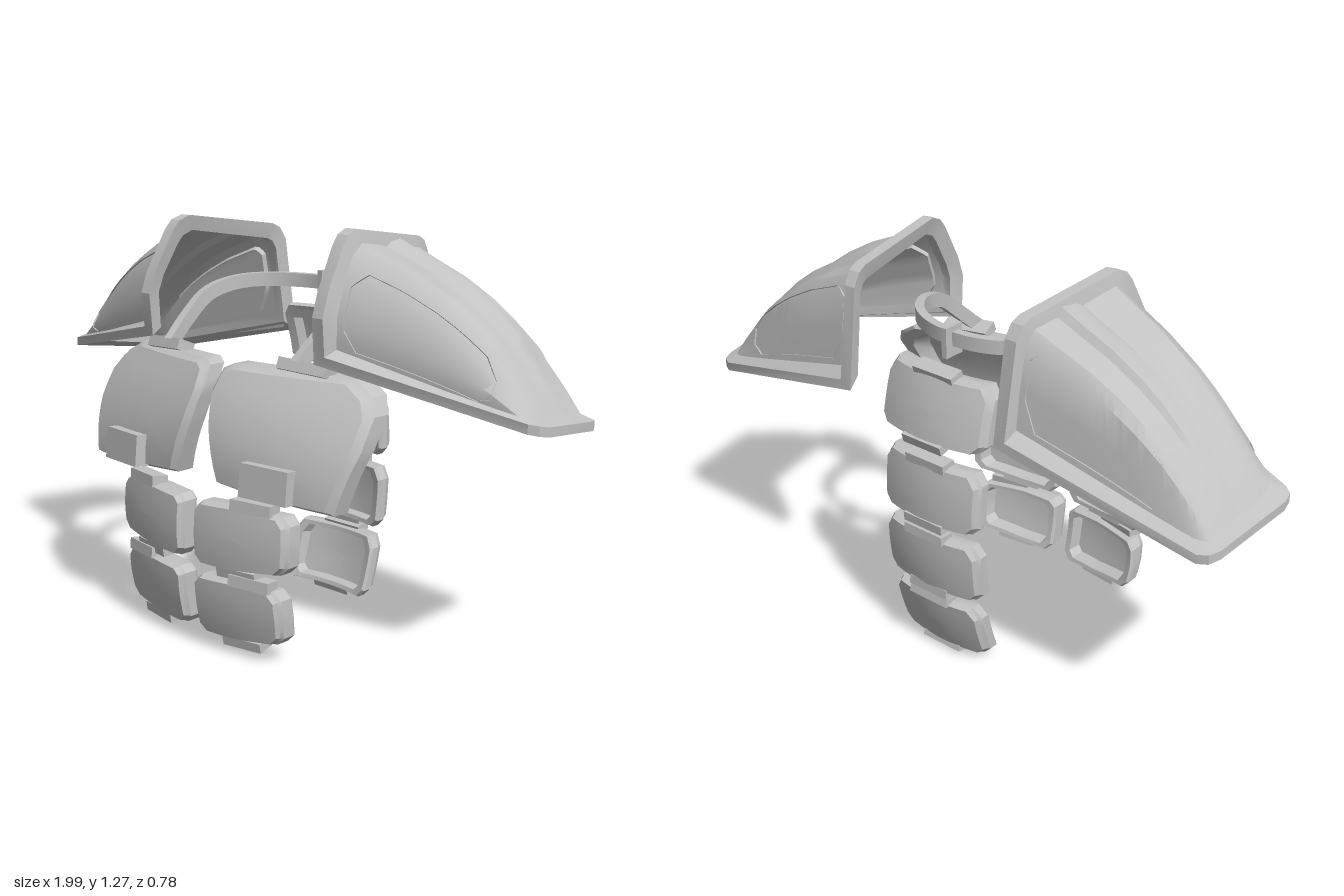
import * as THREE from 'three';
import { toCreasedNormals } from 'three/addons/utils/BufferGeometryUtils.js';

const { lerp, clamp } = THREE.MathUtils;
const steel = new THREE.MeshStandardMaterial({ color: 0xc2c2c2, side: THREE.DoubleSide });
steel.name = 'grey steel';

// Skin a list of point loops; rings are closed when asked
function loft(loops, closed, crease = 0.6) {
  const n = loops[0].length, pos = loops.flat(2), idx = [];
  for (let i = 0; i < loops.length - 1; i++) {
    for (let j = 0; j < (closed ? n : n - 1); j++) {
      const k = (j + 1) % n, a = i * n + j, b = i * n + k, c = b + n, d = a + n;
      idx.push(a, b, c, a, c, d);
    }
  }
  const g = new THREE.BufferGeometry();
  g.setAttribute('position', new THREE.Float32BufferAttribute(pos, 3));
  g.setIndex(idx);
  return toCreasedNormals(g, crease);
}

function add(parent, geometry, name) {
  const m = new THREE.Mesh(geometry, steel);
  m.name = name;
  parent.add(m);
  return m;
}

function box(parent, name, w, h, d, x, y, z, rx = 0, ry = 0) {
  const m = add(parent, new THREE.BoxGeometry(w, h, d), name);
  m.position.set(x, y, z);
  m.rotation.set(rx, ry, 0);
}

// Split the edges of an outline so that the plate can bend
function subdivide(outline, step = 0.04) {
  return outline.flatMap((p, i) => {
    const q = outline[(i + 1) % outline.length];
    const n = Math.max(1, Math.round(Math.hypot(q[0] - p[0], q[1] - p[1]) / step));
    return Array.from({ length: n }, (_, k) => [lerp(p[0], q[0], k / n), lerp(p[1], q[1], k / n)]);
  });
}

// Hollow plate: recessed back, rim, side wall, stepped edge, curved face
function plate(outline, depth, bend) {
  const pts = subdivide(outline);
  const xs = outline.map(p => p[0]), ys = outline.map(p => p[1]);
  const cx = (Math.min(...xs) + Math.max(...xs)) / 2, cy = (Math.min(...ys) + Math.max(...ys)) / 2;
  const layers = [[0.001, -0.03], [0.4, -0.03], [0.78, -0.03], [0.83, -depth], [0.96, -depth], [1, -depth + 0.01],
    [1, -0.022], [0.96, -0.014], [0.93, 0], [0.65, 0], [0.35, 0], [0.001, 0]];
  return loft(layers.map(([s, z]) => pts.map(([x, y]) => {
    const px = cx + (x - cx) * s, py = cy + (y - cy) * s;
    return [px, py, z + bend(px, py)];
  })), true, 0.5);
}

// Shoulder shell: an arch across the shoulder that sinks towards the arm
const ARCH = [[.055, 0], [.045, .2], [.05, .42], [.11, .7], [.19, .91], [.27, 1], [.4, .985], [.5, .965],
  [.54, 1.0], [.64, 1.02], [.67, .955], [.82, .94], [.875, .84], [.91, .5], [.945, 0]];
const HEIGHT = [[.03, .355], [.2, .33], [.35, .31], [.5, .275], [.62, .235], [.73, .185], [.82, .13], [.9, .075], [.96, .025]];
function sample(table, t) {
  let i = 0;
  while (i < table.length - 2 && table[i + 1][0] < t) i++;
  return lerp(table[i][1], table[i + 1][1], (t - table[i][0]) / (table[i + 1][0] - table[i][0]));
}
function shell(u, v) {
  const i = Math.min(Math.floor(v), ARCH.length - 2), f = v - i;
  const s = lerp(ARCH[i][0], ARCH[i + 1][0], f), h = lerp(ARCH[i][1], ARCH[i + 1][1], f);
  const front = new THREE.Vector3(.35, .89, .20).lerp(new THREE.Vector3(.98, .765, .03), u);
  const back = new THREE.Vector3(.28, .855, -.39).lerp(new THREE.Vector3(.95, .72, -.33), u);
  const p = front.lerp(back, s);
  p.y += h * sample(HEIGHT, u);
  return p;
}

// Raised panel following the shell, with chamfered corners and a skirt
function shellPanel(u0, u1, v0, v1, lift) {
  const N = 12, rows = [];
  for (let i = -1; i <= N + 1; i++) {
    const row = [];
    for (let j = -1; j <= N + 1; j++) {
      const a = clamp(i / N, 0, 1), b = clamp(j / N, 0, 1);
      const cut = 0.12 * Math.max(0, Math.abs(2 * b - 1) - 0.5);
      const u = lerp(u0 + cut, u1 - cut, a), v = lerp(v0, v1, b), p = shell(u, v);
      const du = shell(u + .02, v).sub(shell(u - .02, v)), dv = shell(u, v + .3).sub(shell(u, v - .3));
      const edge = i < 0 || j < 0 || i > N || j > N;
      row.push(p.addScaledVector(dv.cross(du).normalize(), edge ? -0.005 : lift).toArray());
    }
    rows.push(row);
  }
  return loft(rows, false, 0.5);
}

function rimGeometry() {
  const archX = z => .28 + (z + .39) / .59 * .07;
  // outer z, y and inner z, y up and over the neck side
  const arch = [[.20, .885, .155, .905], [.21, 1.02, .16, 1.02], [.185, 1.09, .14, 1.075], [.115, 1.215, .085, 1.17],
    [.09, 1.245, .065, 1.195], [.05, 1.26, .03, 1.21], [-.29, 1.215, -.275, 1.165], [-.32, 1.2, -.295, 1.155],
    [-.345, 1.16, -.31, 1.13], [-.39, .845, -.345, .875]];
  const loops = arch.map(([z, y, zi, yi], i) => {
    const x = archX(z), low = i === 0 || i === arch.length - 1 ? .025 : 0;
    return [[x, y, z], [x + .012, yi, zi], [x + .05, yi + low, zi], [x + .04, y + low, z]];
  });
  // rounded corners at the arm end
  const arm = [[.92, .703, -.34, .89, .735, -.295], [.95, .705, -.325, .9, .735, -.285], [.965, .71, -.29, .91, .735, -.26],
    [.997, .745, -.02, .94, .77, -.02], [.99, .752, .015, .935, .775, -.005], [.965, .757, .035, .92, .782, .005]];
  for (const [x, y, z, a, b, c] of arm) loops.push([[x, y, z], [a, b, c], [a, b + .025, c], [x, y + .028, z]]);
  loops.push(loops[0]);
  return loft(loops, true, 0.4);
}

function shoulder() {
  const g = new THREE.Group();
  const rows = [];
  for (let i = 0; i <= 24; i++) {
    const u = lerp(.03, .96, i / 24);
    rows.push(ARCH.map((_, v) => shell(u, v).toArray()));
  }
  add(g, loft(rows, false, 0.55), 'shoulderShell');
  add(g, rimGeometry(), 'shoulderRim');
  add(g, shellPanel(.12, .8, .9, 3.6, .014), 'shoulderFrontPanel');
  add(g, shellPanel(.1, .78, 11.8, 13.6, .022), 'shoulderBackPanel');
  return g;
}

function chest() {
  const g = new THREE.Group();
  // the face leans back more towards the arm
  const bend = (x, y) => .36 - .22 * (x - .08) ** 2 - (.05 + .5 * x) * (y - .52) - 1.2 * (y - .6) ** 2;
  const outline = [[.09, .51], [.3, .495], [.515, .49], [.56, .67], [.56, .76], [.53, .81], [.46, .85],
    [.06, .855], [.03, .84], [.02, .78], [.04, .68]];
  add(g, plate(outline, .09, bend), 'chestPlate');
  box(g, 'chestTopTab', .17, .035, .06, .295, .86, bend(.295, .86) - .03, -.4, .15);
  box(g, 'chestLowerTab', .17, .1, .05, .31, .555, bend(.31, .555) + .008, -.1, .12);
  return g;
}

function abdomen() {
  const g = new THREE.Group();
  for (const [x1, y0, y1, z, lean] of [[.36, .26, .46, .388, -.02], [.335, .035, .23, .38, .15]]) {
    const mid = (y0 + y1) / 2;
    const bend = (x, y) => z - .45 * x * x + lean * (y - mid) - .8 * (y - mid) ** 2;
    const outline = [[.05, y0], [.16, y0], [x1 - .03, y0 + .015], [x1 - .005, y0 + .04], [x1, y0 + .1],
      [x1 - .003, y1 - .035], [x1 - .025, y1 - .008], [.16, y1], [.05, y1 - .005], [.027, y1 - .025], [.027, y0 + .025]];
    add(g, plate(outline, .075, bend), 'abdomenPlate');
    box(g, 'abdomenTopTab', .14, .035, .055, .235, y1 + .004, bend(.235, y1) - .028, -.1, .2);
    box(g, 'abdomenLowerTab', .14, .03, .055, .185, y0 - .003, bend(.185, y0) - .032, .15, .15);
  }
  return g;
}

// Four plates down the spine, built facing +z and turned round
function spine() {
  const g = new THREE.Group();
  for (const [y, z, lean, half] of [[.86, .36, -.28, .2], [.588, .386, -.08, .185], [.345, .386, .08, .185], [.11, .35, .28, .172]]) {
    const bend = (x, py) => z - .9 * x * x + lean * (py - y) - .6 * (py - y) ** 2;
    const h = .1, c = .025;
    const outline = [[-half + c, -h], [half - c, -h], [half, -h + c], [half, h - c * 1.5], [half - c, h],
      [-half + c, h], [-half, h - c * 1.5], [-half, -h + c]].map(p => [p[0], p[1] + y]);
    add(g, plate(outline, .06, bend), 'backPlate');
    for (const s of [-1, 1]) {
      box(g, s > 0 ? 'backTopTab' : 'backLowerTab', .15, .03, .05, 0, y + s * h, bend(0, y + s * h) - .022, -Math.atan(lean));
    }
  }
  g.rotation.y = Math.PI;
  return g;
}

// Flat band round the neck, dropping to the chest at both ends
function collar() {
  const half = [[.275, .87, .19], [.285, .94, .11], [.282, 1.01, .02], [.255, 1.04, -.08], [.19, 1.048, -.17], [.1, 1.048, -.22]];
  const path = new THREE.CatmullRomCurve3([...half, [0, 1.048, -.235], ...half.slice().reverse().map(p => [-p[0], p[1], p[2]])]
    .map(p => new THREE.Vector3(...p)));
  const loops = [];
  for (let i = 0; i <= 64; i++) {
    const p = path.getPoint(i / 64), t = path.getTangent(i / 64);
    const side = new THREE.Vector3(-t.z, 0, t.x).normalize(), up = side.clone().cross(t).normalize();
    loops.push([[1, 1], [-1, 1], [-1, -1], [1, -1]].map(([a, b]) =>
      p.clone().addScaledVector(side, a * .014).addScaledVector(up, b * .022).toArray()));
  }
  return loft(loops, true, 0.5);
}

export function createModel() {
  const model = new THREE.Group();
  model.name = 'bodyArmour';
  for (const side of [1, -1]) {
    const name = side > 0 ? 'left' : 'right';
    for (const [part, build] of [['Shoulder', shoulder], ['Chest', chest], ['Abdomen', abdomen]]) {
      const g = build();
      g.name = name + part;
      g.scale.x = side;
      model.add(g);
    }
  }
  const back = spine();
  back.name = 'spine';
  model.add(back);
  add(model, collar(), 'collarBand');
  box(model, 'collarClip', .018, .095, .07, 0, 1.04, -.24);
  return model;
}
